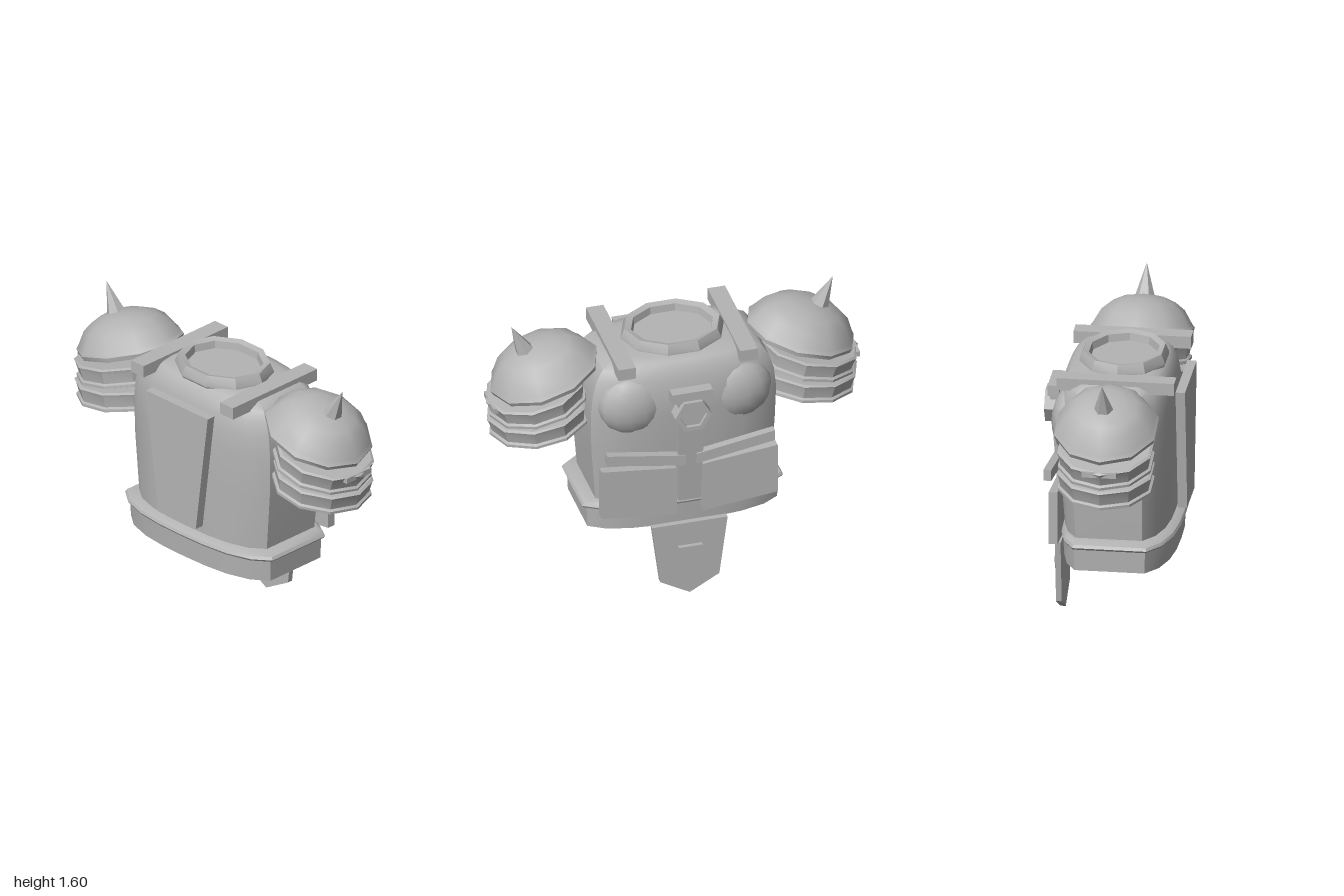
import * as THREE from 'three';
import { toCreasedNormals } from 'three/addons/utils/BufferGeometryUtils.js';

const steel = new THREE.MeshStandardMaterial({ color: 0xb4b4b4 });
steel.name = 'steel';

function add(parent, name, geometry, x = 0, y = 0, z = 0, crease = 0.5) {
  const mesh = new THREE.Mesh(toCreasedNormals(geometry, crease), steel);
  mesh.name = name;
  mesh.position.set(x, y, z);
  parent.add(mesh);
  return mesh;
}

// Half outline of the body seen from above: flat sides, gently curved front and back
const half = [[0, 1], [0.3, 0.99], [0.58, 0.94], [0.83, 0.82], [1, 0.62], [1, -0.62], [0.83, -0.82], [0.58, -0.94], [0.3, -0.99]];
const outline = [...half, ...half.map(([x, z]) => [-x, -z])];

// Closed loft through rings of [y, half width, front z, back z]
function loft(rings) {
  const n = outline.length, pos = [], index = [];
  for (const [y, w, f, b] of rings) {
    for (const [x, z] of outline) pos.push(x * w, y, z > 0 ? z * f : z * b);
  }
  for (let r = 0; r < rings.length - 1; r++) {
    for (let i = 0; i < n; i++) {
      const a = r * n + i, b = r * n + (i + 1) % n;
      index.push(a, b, b + n, a, b + n, a + n);
    }
  }
  const top = (rings.length - 1) * n, c = rings.length * n;
  pos.push(0, rings[0][0], 0, 0, rings[rings.length - 1][0], 0);
  for (let i = 0; i < n; i++) {
    const j = (i + 1) % n;
    index.push(c, j, i, c + 1, top + i, top + j);
  }
  const g = new THREE.BufferGeometry();
  g.setAttribute('position', new THREE.Float32BufferAttribute(pos, 3));
  g.setIndex(index);
  return g;
}

// Ten-sided turned part, slightly narrower front to back
function turned(points, depth) {
  const g = new THREE.LatheGeometry(points.map(([r, y]) => new THREE.Vector2(r, y)), 10, Math.PI / 2);
  return g.scale(1, 1, depth);
}

// Flat plate cut from corner points
function plate(points, depth, hole) {
  const shape = new THREE.Shape(points.map(([x, y]) => new THREE.Vector2(x, y)));
  if (hole) shape.holes.push(new THREE.Path(hole.map(([x, y]) => new THREE.Vector2(x, y))));
  return new THREE.ExtrudeGeometry(shape, { depth, bevelEnabled: false });
}

const hexagon = (r) => Array.from({ length: 6 }, (_, i) => [r * Math.cos(i * Math.PI / 3), r * Math.sin(i * Math.PI / 3)]);

function addArm(parent, s) {
  const arm = new THREE.Group();
  arm.name = s > 0 ? 'leftShoulder' : 'rightShoulder';
  parent.add(arm);

  // Domed shoulder guard with a thin rim
  const dome = turned([[0, 0.005], [0.28, 0.005], [0.295, 0], [0.302, 0.025], [0.285, 0.045],
    [0.24, 0.115], [0.185, 0.155], [0.115, 0.183], [0, 0.197]], 0.92);
  add(arm, 'shoulderDome', dome, s * 0.69, 1.285, 0.03, 0.7).rotation.z = -s * 0.3;

  // Spike
  const spike = new THREE.ConeGeometry(0.062, 0.21, 6).translate(0, 0.105, 0);
  add(arm, 'spike', spike, s * 0.785, 1.41, 0.03).rotation.z = -s * 0.43;

  // Two overlapping arm bands with flared lower lips
  for (const [y, tilt, x] of [[1.115, 0.22, 0.722], [0.985, 0.15, 0.72]]) {
    const band = turned([[0, 0], [0.255, 0], [0.27, 0.005], [0.27, 0.02], [0.256, 0.028],
      [0.266, 0.085], [0.272, 0.1], [0.258, 0.108], [0, 0.108]], 0.95);
    add(arm, 'armBand', band, s * x, y, 0.033).rotation.z = -s * tilt;
  }
  add(arm, 'bandTab', new THREE.BoxGeometry(0.05, 0.03, 0.18), s * 0.97, 1.15, 0.03);
}

export function createModel() {
  const model = new THREE.Group();
  model.name = 'torsoArmour';

  // Body shell
  add(model, 'torso', loft([
    [0.5, 0.465, 0.3, 0.255], [0.9, 0.497, 0.308, 0.285], [1.12, 0.503, 0.312, 0.3],
    [1.24, 0.49, 0.308, 0.3], [1.32, 0.465, 0.295, 0.28], [1.375, 0.43, 0.275, 0.26],
    [1.405, 0.38, 0.25, 0.235], [1.42, 0.29, 0.215, 0.19]]), 0, 0, 0, 0.65);

  // Belt and its ledge
  add(model, 'belt', loft([[0.415, 0.515, 0.33, 0.262], [0.545, 0.52, 0.338, 0.268]]));
  add(model, 'beltLedge', loft([[0.538, 0.535, 0.345, 0.27], [0.55, 0.545, 0.352, 0.275],
    [0.565, 0.535, 0.345, 0.27], [0.58, 0.49, 0.315, 0.262]]));

  // Neck collar
  add(model, 'collar', turned([[0.265, 1.395], [0.28, 1.415], [0.28, 1.43], [0.258, 1.475],
    [0.222, 1.465], [0.215, 1.425], [0, 1.425]], 0.84), 0, 0, 0.03);

  // Chest plate
  add(model, 'chestPlate', plate([[-0.14, 0.645], [0.14, 0.645], [0.228, 1.325], [-0.228, 1.325]], 0.05), 0, 0, 0.33);

  // Back spine with its head block and hexagonal medallion
  const spine = plate([[-0.06, 0.58], [0.06, 0.58], [0.075, 1.26], [-0.075, 1.26]], 0.05);
  spine.translate(0, -1.26, -0.05);
  add(model, 'spine', spine, 0, 1.26, -0.305).rotation.x = -0.075;
  add(model, 'spineHead', new THREE.BoxGeometry(0.22, 0.06, 0.06), 0, 1.25, -0.33);
  add(model, 'medallionBase', plate(hexagon(0.1), 0.06), 0, 1.142, -0.362);
  add(model, 'medallionRing', plate(hexagon(0.1), 0.02, hexagon(0.072)), 0, 1.142, -0.38);

  // Hanging back plate with a raised triangle
  add(model, 'tailPlate', plate([[0, 0], [0.16, 0.09], [0.205, 0.435], [-0.205, 0.435], [-0.16, 0.09]], 0.03), 0, 0, -0.308);
  add(model, 'tailTriangle', plate([[0, 0.165], [0.065, 0.3], [-0.065, 0.3]], 0.025), 0, 0, -0.33);

  for (const s of [1, -1]) {
    addArm(model, s);

    // Shoulder strap
    add(model, 'shoulderStrap', new THREE.BoxGeometry(0.095, 0.067, 0.62), s * 0.33, 1.4, 0.033);

    // Shoulder blade bulge
    const bulge = new THREE.SphereGeometry(1, 14, 10).scale(0.19, 0.18, 0.105);
    add(model, 'shoulderBlade', bulge, s * 0.28, 1.17, -0.208, 0.8);

    // Raked rear bar and square rear plate, rising outwards
    const shear = (x0, x1, y0, y1, rise) => [[x0, y0], [x1, y0 + rise], [x1, y1 + rise], [x0, y1]]
      .map(([x, y]) => [s * x, y]);
    add(model, 'rearBar', plate(shear(0.03, 0.455, 0.815, 0.875, 0.07), 0.042), 0, 0, -0.335);
    add(model, 'rearPlate', plate(shear(0.07, 0.478, 0.495, 0.785, 0.045), 0.047), 0, 0, -0.304);
  }
  return model;
}
